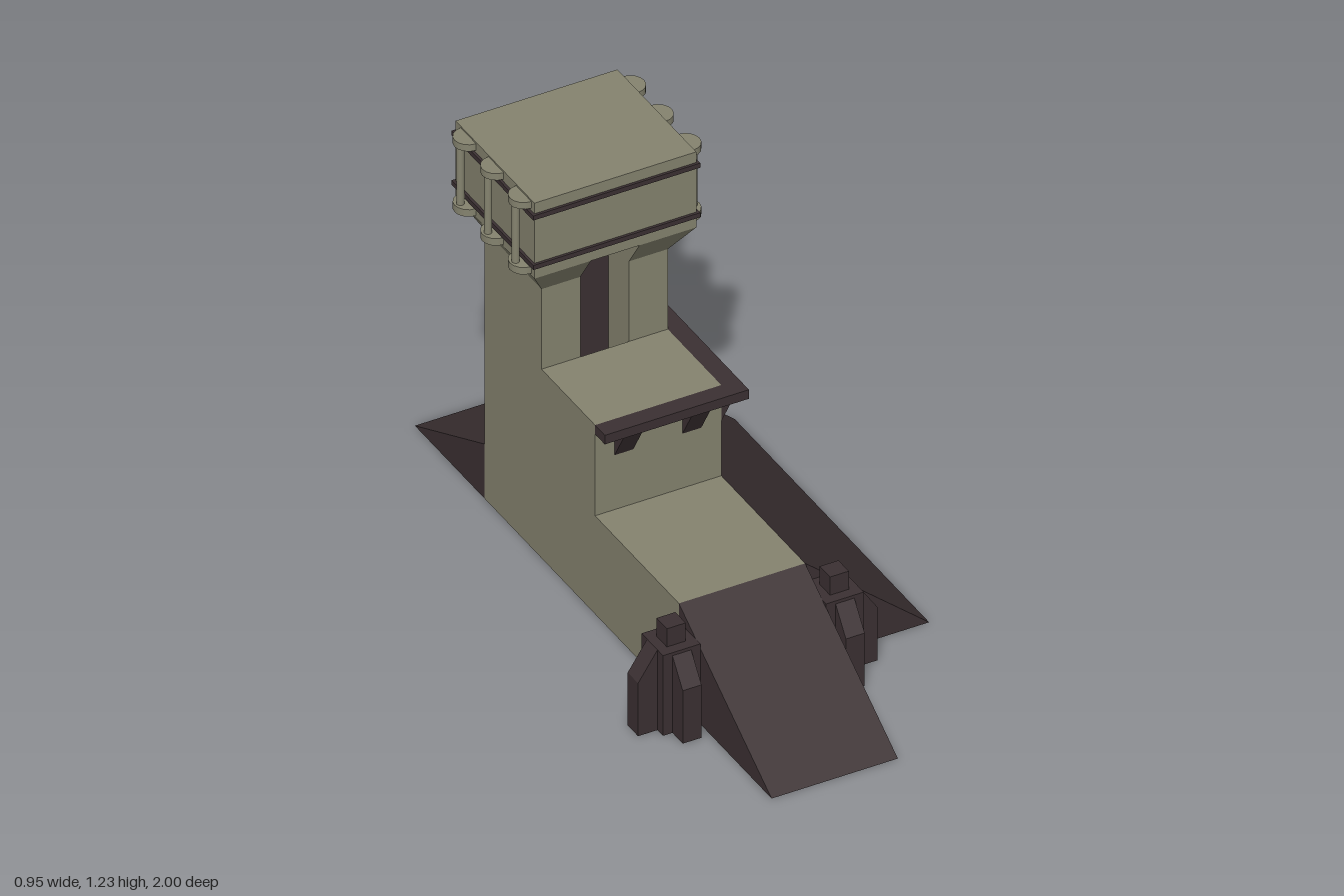
import * as THREE from 'three';

const khaki = new THREE.MeshStandardMaterial({ color: 0x85836f });
khaki.name = 'khaki stone';
const brown = new THREE.MeshStandardMaterial({ color: 0x3b3032 });
brown.name = 'dark brown';

// Block between a bottom and a top rectangle, each [x0, x1, z0, z1]
function block(parent, name, mat, y0, y1, bottom, top = bottom) {
  const geo = new THREE.BoxGeometry(1, 1, 1);
  const p = geo.attributes.position;
  for (let i = 0; i < p.count; i++) {
    const r = p.getY(i) > 0 ? top : bottom;
    p.setXYZ(i, p.getX(i) > 0 ? r[1] : r[0], p.getY(i) > 0 ? y1 : y0, p.getZ(i) > 0 ? r[3] : r[2]);
  }
  geo.computeVertexNormals();
  const mesh = new THREE.Mesh(geo, mat);
  mesh.name = name;
  parent.add(mesh);
  return mesh;
}

function cylinder(parent, name, mat, r, y0, y1, x, z) {
  const mesh = new THREE.Mesh(new THREE.CylinderGeometry(r, r, y1 - y0, 16), mat);
  mesh.position.set(x, (y0 + y1) / 2, z);
  mesh.name = name;
  parent.add(mesh);
}

// Stepped buttress around its own axis; side is the outward x direction
function buttress(side) {
  const g = new THREE.Group();
  g.name = side > 0 ? 'leftButtress' : 'rightButtress';
  block(g, 'buttressCore', brown, 0, 0.265, [-0.058, 0.058, -0.06, 0.06]);
  block(g, 'buttressPost', brown, 0.265, 0.325, [-0.029, 0.029, -0.029, 0.029]);
  block(g, 'frontFin', brown, 0, 0.175, [-0.029, 0.029, 0.06, 0.118]);
  block(g, 'frontFinSlope', brown, 0.175, 0.255, [-0.029, 0.029, 0.06, 0.118], [-0.029, 0.029, 0.06, 0.06]);
  const x0 = side > 0 ? 0.058 : -0.118, x1 = x0 + 0.06, e = side * 0.058;
  block(g, 'sideFin', brown, 0, 0.175, [x0, x1, -0.029, 0.029]);
  block(g, 'sideFinSlope', brown, 0.175, 0.265, [x0, x1, -0.029, 0.029], [e, e, -0.029, 0.029]);
  g.position.set(-0.105 + side * 0.252, 0, 0.54);
  return g;
}

export function createModel() {
  const model = new THREE.Group();
  model.name = 'watchtower';
  const L = -0.3, R = 0.09;

  // Stepped body
  block(model, 'lowerBody', khaki, 0, 0.325, [L, R, -0.29, 0.48]);
  block(model, 'middleTier', khaki, 0.325, 0.625, [L, R, -0.29, 0.01]);

  // Earth ramps: front, back and one flank
  block(model, 'frontRamp', brown, 0, 0.325, [L, R, 0.48, 1], [L, R, 0.48, 0.48]);
  block(model, 'backRamp', brown, 0, 0.18, [L, R, -1, -0.61], [L, R, -0.61, -0.61]);
  block(model, 'sideRamp', brown, 0, 0.325, [R, 0.473, -0.61, 0.48], [R, R, -0.61, 0.48]);
  for (const side of [-1, 1]) model.add(buttress(side));

  // Overhanging rim with corbels
  block(model, 'frontRim', brown, 0.595, 0.625, [L, 0.145, 0.01, 0.065]);
  block(model, 'sideRim', brown, 0.595, 0.625, [R, 0.145, -0.61, 0.01]);
  for (const x of [-0.24, -0.03])
    block(model, 'frontCorbel', brown, 0.505, 0.595, [x, x + 0.058, 0.01, 0.01], [x, x + 0.058, 0.01, 0.062]);
  for (const z of [-0.047, -0.228, -0.42, -0.61])
    block(model, 'sideCorbel', brown, 0.505, 0.595, [R, R, z, z + 0.057], [R, 0.142, z, z + 0.057]);

  // Tower: two pillars and their flares, with recesses between them
  const A = -0.18, B = -0.03;
  for (const [x0, x1, t0, t1] of [[L, A, -0.355, A], [B, R, B, 0.145]]) {
    block(model, 'towerPillar', khaki, 0, 0.89, [x0, x1, -0.61, -0.29]);
    block(model, 'towerFlare', khaki, 0.89, 0.98, [x0, x1, -0.61, -0.29], [t0, t1, -0.672, -0.23]);
  }
  block(model, 'towerCoreBase', khaki, 0, 0.18, [A, B, -0.585, -0.405]);
  block(model, 'towerCore', brown, 0.18, 0.98, [A, B, -0.585, -0.405]);

  // Head with two bands
  block(model, 'towerHead', khaki, 0.98, 1.23, [-0.355, 0.145, -0.672, -0.23]);
  for (const y of [1.016, 1.18])
    block(model, 'headBand', brown, y, y + 0.015, [-0.363, 0.153, -0.68, -0.222]);

  // Rods held between round brackets on both flanks
  for (const side of [-1, 1]) {
    for (const z of [-0.29, -0.445, -0.6]) {
      const x = -0.105 + side * 0.25;
      cylinder(model, 'lowerBracket', khaki, 0.043, 0.987, 1.01, x, z);
      cylinder(model, 'upperBracket', khaki, 0.043, 1.203, 1.225, x, z);
      cylinder(model, 'rod', khaki, 0.011, 1.01, 1.203, x + side * 0.025, z);
    }
  }
  return model;
}
